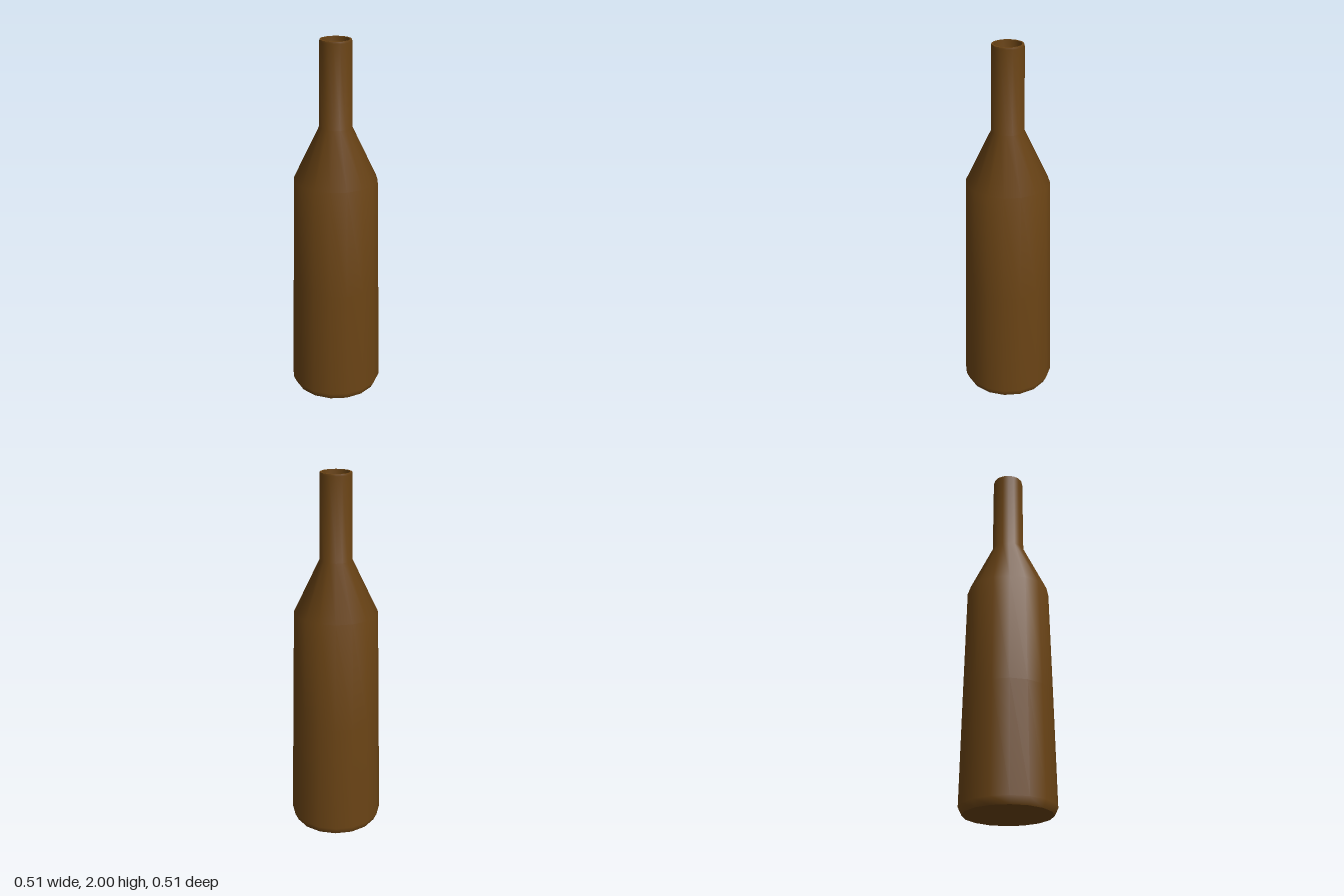
import * as THREE from 'three';

const SIDES = 16;

export function createModel() {
  const bottle = new THREE.Group();
  bottle.name = 'bottle';
  const glass = new THREE.MeshStandardMaterial({ color: 0x6b4415 });

  // Turns a list of [radius, height] points into a smooth sixteen-sided part
  const turn = (name, profile) => {
    const points = profile.map(([r, y]) => new THREE.Vector2(r, y));
    const mesh = new THREE.Mesh(new THREE.LatheGeometry(points, SIDES), glass);
    mesh.name = name;
    bottle.add(mesh);
  };

  // Outer wall: bevelled foot, tapering body, sloped shoulder, neck
  turn('outerWall', [
    [0.235, 0], [0.254, 0.04], [0.241, 0.65], [0.227, 1.25],
    [0.088, 1.54], [0.085, 1.99], [0.083, 2],
  ]);

  // Flat underside
  turn('base', [[0, 0], [0.235, 0]]);

  // Rim and the inside of the neck, closed at the bottom
  turn('rim', [[0.083, 2], [0.073, 2]]);
  turn('neckInside', [[0.073, 2], [0.071, 1.55], [0, 1.53]]);

  return bottle;
}
